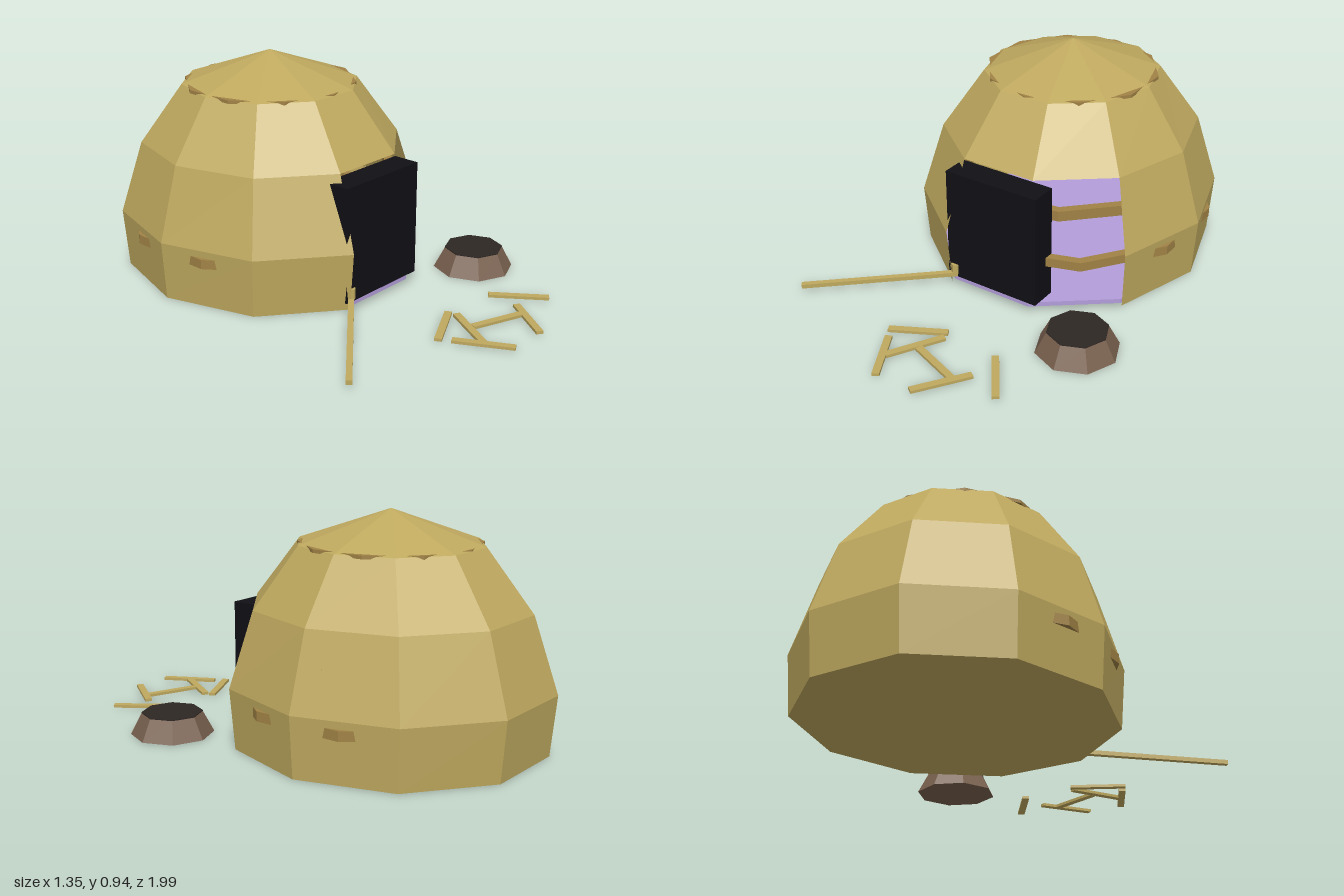
import * as THREE from 'three';

const SIDES = 10, STEP = Math.PI * 2 / SIDES, CZ = -0.34;
const mat = (color, side = THREE.FrontSide) =>
  new THREE.MeshStandardMaterial({ color, flatShading: true, side });
const straw = mat(0xbfa95f), strawWall = mat(0xbfa95f, THREE.DoubleSide);
const wood = mat(0xa08245), black = mat(0x101015), purple = mat(0xb39ddb);
const brown = mat(0x78604e), soot = mat(0x2e2724);

export function createModel() {
  const root = new THREE.Group();
  const add = (name, geometry, material, x = 0, y = 0, z = 0, parent = root) => {
    const m = new THREE.Mesh(geometry, material);
    m.name = name;
    m.position.set(x, y, z);
    parent.add(m);
    return m;
  };

  // Dome wall: oval ten-sided rings [y, rx, rz], two bays left open at the front
  const rings = [[0, 0.62, 0.665], [0.25, 0.638, 0.69], [0.56, 0.545, 0.585], [0.81, 0.372, 0.39], [0.945, 0, 0]];
  const point = (r, i) => {
    const [y, rx, rz] = rings[r];
    return [rx * Math.cos(i * STEP), y, rz * Math.sin(i * STEP)];
  };
  const pos = [];
  for (let r = 0; r < rings.length - 1; r++) {
    for (let i = 0; i < SIDES; i++) {
      if (r < 2 && (i === 1 || i === 2)) continue;
      const a = point(r, i + 1), b = point(r, i), c = point(r + 1, i), d = point(r + 1, i + 1);
      pos.push(...a, ...b, ...c);
      if (r < 3) pos.push(...a, ...c, ...d);
    }
  }
  const wall = new THREE.BufferGeometry();
  wall.setAttribute('position', new THREE.Float32BufferAttribute(pos, 3));
  wall.computeVertexNormals();
  add('domeWall', wall, strawWall, 0, 0, CZ);

  // Underside and raised inner floor
  const base = new THREE.CircleGeometry(1, SIDES).rotateX(Math.PI / 2).scale(0.62, 1, 0.665);
  add('base', base, straw, 0, 0, CZ);
  const floor = new THREE.CylinderGeometry(1, 1, 0.02, SIDES).rotateY(Math.PI / 2).scale(0.605, 1, 0.65);
  add('floor', floor, purple, 0, 0.013, CZ);

  // Horizontal hoops bracing the wall, corners just breaking through
  const hoop = (name, y, radius, height, thick, turn) => {
    const ring = (r, path) => {
      for (let i = 0; i < SIDES; i++) {
        const a = turn + i * STEP;
        path[i ? 'lineTo' : 'moveTo'](r * Math.cos(a), r * Math.sin(a));
      }
      path.closePath();
      return path;
    };
    const shape = ring(radius, new THREE.Shape());
    shape.holes.push(ring(radius - thick, new THREE.Path()));
    const g = new THREE.ExtrudeGeometry(shape, { depth: height, bevelEnabled: false }).rotateX(-Math.PI / 2);
    add(name, g, wood, 0, y - height / 2, CZ);
  };
  hoop('lowerHoop', 0.2, 0.627, 0.04, 0.04, STEP / 2);
  hoop('middleHoop', 0.4, 0.567, 0.045, 0.04, Math.PI / 4);
  hoop('roofHoop', 0.808, 0.372, 0.014, 0.03, STEP / 2);

  // Dark doorway block
  add('doorway', new THREE.BoxGeometry(0.44, 0.495, 0.12), black, 0.01, 0.277, 0.23);

  // Hanging lamp inside
  add('lamp', new THREE.SphereGeometry(0.068, 6, 4), purple, 0.255, 0.56, CZ);

  // Bar stretched between two points
  const bar = (name, a, b, width, height, parent = root) => {
    const from = new THREE.Vector3(...a), to = new THREE.Vector3(...b);
    const m = add(name, new THREE.BoxGeometry(width, height, from.distanceTo(to)), straw, 0, 0, 0, parent);
    m.position.copy(from).lerp(to, 0.5);
    m.lookAt(to);
  };

  // Long pole lying by the door, with a small peg at its end
  bar('pole', [-0.67, 0.027, 0.71], [-0.17, 0.04, 0.28], 0.024, 0.018);
  add('polePeg', new THREE.CylinderGeometry(0.02, 0.02, 0.045, 6), straw, -0.178, 0.066, 0.285);

  // Sticks scattered on the ground: x, z to x, z
  const sticks = new THREE.Group();
  sticks.name = 'sticks';
  root.add(sticks);
  [
    [-0.18, 0.73, 0.035, 0.618], [0.043, 0.652, -0.08, 0.87], [-0.145, 0.77, -0.03, 0.985],
    [0, 0.762, 0.222, 0.842], [0.275, 0.782, 0.135, 0.985], [0.28, 0.64, 0.425, 0.842],
  ].forEach(([x0, z0, x1, z1]) => bar('stick', [x0, 0.013, z0], [x1, 0.013, z1], 0.03, 0.012, sticks));

  // Fire pit with a sooty top
  add('firePit', new THREE.CylinderGeometry(0.125, 0.172, 0.09, 8), brown, 0.503, 0.045, 0.4);
  add('firePitTop', new THREE.CylinderGeometry(0.126, 0.126, 0.004, 8), soot, 0.503, 0.09, 0.4);

  return root;
}
